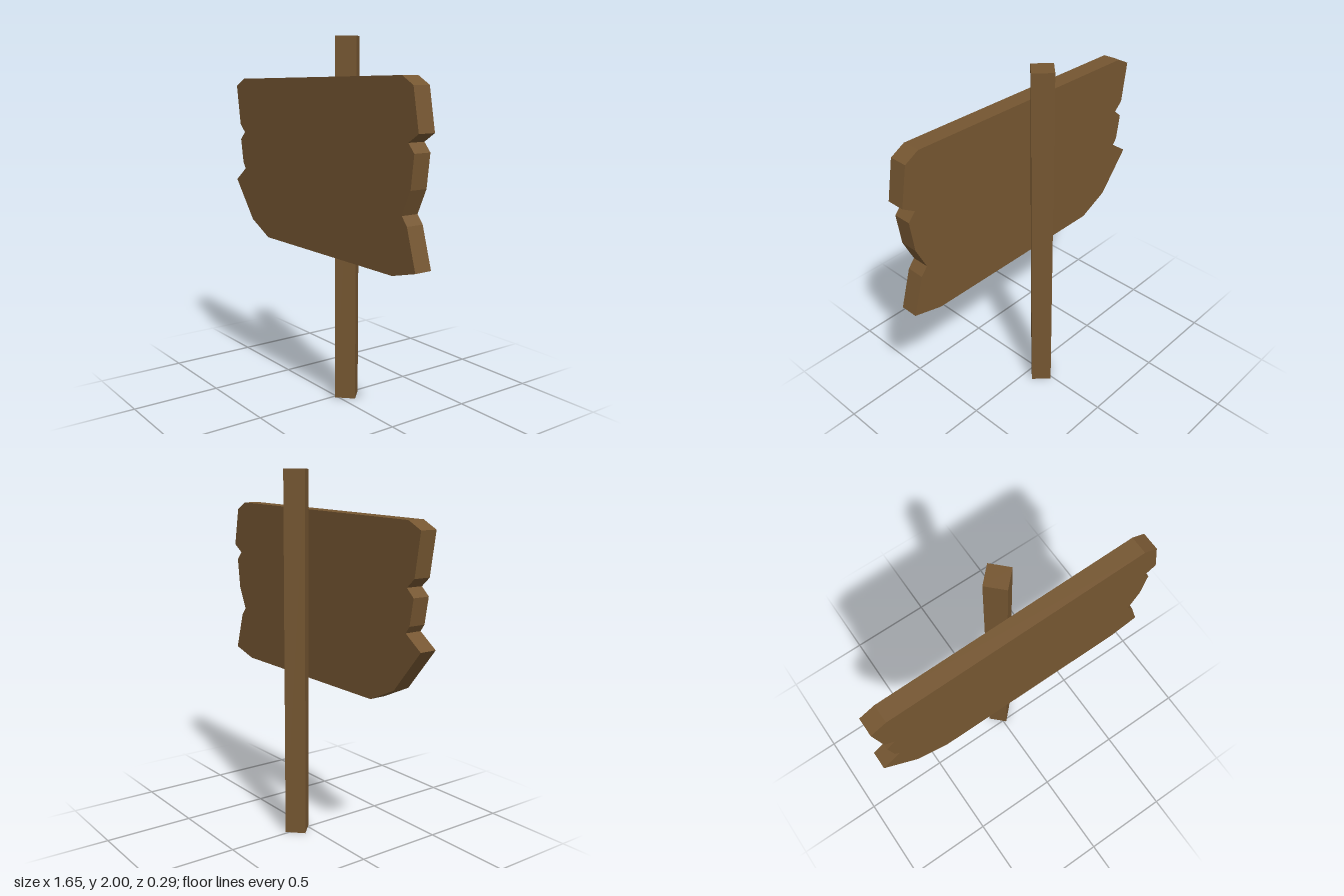
import * as THREE from 'three';

export function createModel() {
  const model = new THREE.Group();
  model.name = 'woodenSign';

  const wood = new THREE.MeshStandardMaterial({ color: 0x755631, flatShading: true });
  wood.name = 'brown wood';

  // Square post turned 45 degrees, so one edge faces the board
  const post = new THREE.Mesh(new THREE.CylinderGeometry(0.08, 0.08, 2, 4), wood);
  post.name = 'post';
  post.position.set(0.015, 1, -0.064);
  model.add(post);

  // Ragged board outline, counter-clockwise from the lower left
  const outline = [
    [-0.474, 0.86], [0.653, 0.866], [0.818, 0.91],
    // splintered left end
    [0.754, 1.12], [0.717, 1.165], [0.775, 1.29], [0.796, 1.46],
    [0.754, 1.506], [0.823, 1.55], [0.782, 1.763], [0.703, 1.806],
    // splintered right end
    [-0.72, 1.77], [-0.806, 1.727], [-0.772, 1.503], [-0.722, 1.457],
    [-0.77, 1.413], [-0.747, 1.275], [-0.722, 1.24], [-0.828, 1.164],
    [-0.648, 0.942],
  ].map(([x, y]) => new THREE.Vector2(x, y));

  const board = new THREE.Mesh(
    new THREE.ExtrudeGeometry(new THREE.Shape(outline), { depth: 0.097, bevelEnabled: false }),
    wood
  );
  board.name = 'board';
  board.position.z = 0.048;
  model.add(board);

  return model;
}
